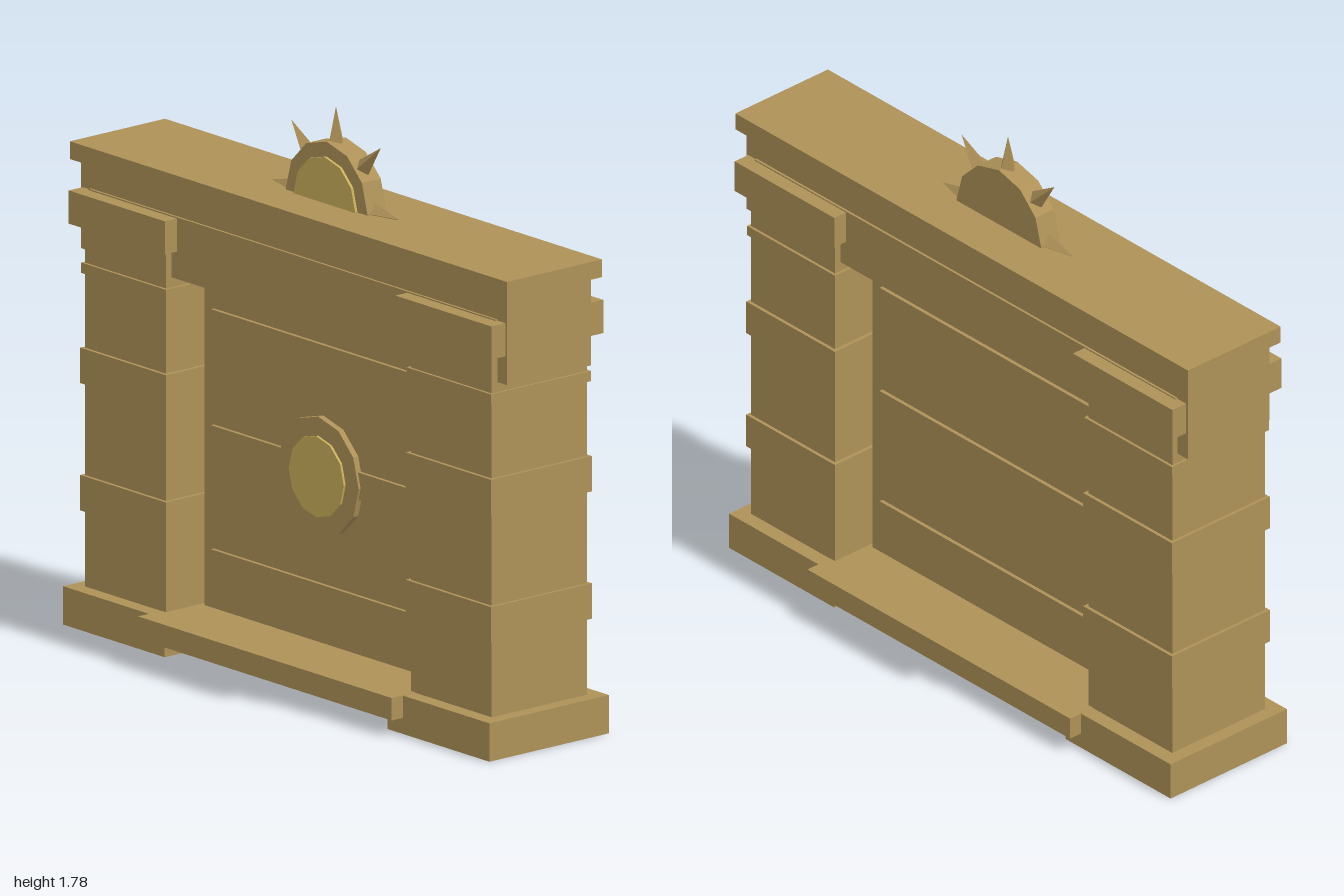
import * as THREE from 'three';

export function createModel() {
  const model = new THREE.Group();
  model.name = 'sunGate';
  const stone = new THREE.MeshStandardMaterial({ color: 0xae9158 });
  stone.name = 'sandstone';
  const gold = new THREE.MeshStandardMaterial({ color: 0xc9af5b });
  gold.name = 'gold';

  const add = (name, geometry, material = stone) => {
    const mesh = new THREE.Mesh(geometry, material);
    mesh.name = name;
    model.add(mesh);
    return mesh;
  };
  // Box given by its x range, y range and half depth
  const block = (name, x0, x1, y0, y1, halfDepth) => {
    const mesh = add(name, new THREE.BoxGeometry(x1 - x0, y1 - y0, halfDepth * 2));
    mesh.position.set((x0 + x1) / 2, (y0 + y1) / 2, 0);
    return mesh;
  };
  // Twelve-sided flat disc facing front, between two depths
  const disc = (name, radius, y, z0, z1, material) => {
    const geometry = new THREE.CylinderGeometry(radius, radius, z1 - z0, 12).toNonIndexed();
    geometry.computeVertexNormals();
    geometry.rotateX(Math.PI / 2);
    add(name, geometry, material).position.set(0, y, (z0 + z1) / 2);
  };

  // Top slab, lintel and the raised beam on it
  block('topSlab', -1, 1, 1.43, 1.485, 0.187);
  block('lintel', -0.975, 0.975, 1.155, 1.43, 0.165);
  block('beam', -0.93, 0.93, 1.24, 1.35, 0.173);

  // Wall with three raised strips on both faces, and the doorstep
  block('wall', -0.543, 0.543, 0.1, 1.17, 0.05);
  for (const [y0, y1] of [[0.245, 0.305], [0.605, 0.69], [0.99, 1.05]]) {
    block('wallStrip', -0.5, 0.5, y0, y1, 0.062);
  }
  block('doorstep', -0.58, 0.58, 0.05, 0.12, 0.28);

  // Pillars: plinth, shaft, bands and capital on each side
  const pillarParts = [
    ['plinth', 0.51, 0.975, 0, 0.119, 0.235],
    ['pillarShaft', 0.56, 0.93, 0.11, 1.3, 0.187],
    ['lowerBand', 0.548, 0.94, 0.355, 0.465, 0.198],
    ['middleBand', 0.548, 0.94, 0.75, 0.86, 0.198],
    ['upperBand', 0.55, 0.938, 1.092, 1.124, 0.196],
    ['capital', 0.527, 0.967, 1.243, 1.346, 0.22],
  ];
  for (const [name, a, b, y0, y1, depth] of pillarParts) {
    block(name + 'Left', a, b, y0, y1, depth);
    block(name + 'Right', -b, -a, y0, y1, depth);
  }

  // Medallion on the front of the wall
  disc('medallionRim', 0.185, 0.642, 0.04, 0.07, stone);
  disc('medallionFace', 0.126, 0.642, 0.06, 0.078, gold);

  // Rising sun on the slab
  const sunY = 1.487;
  disc('sunRim', 0.187, sunY, -0.037, 0.037, stone);
  disc('sunFace', 0.141, sunY, 0, 0.046, gold);

  // Five four-sided rays around the sun
  const ray = new THREE.ConeGeometry(0.028, 0.11, 4).toNonIndexed();
  ray.computeVertexNormals();
  for (let i = 0; i < 5; i++) {
    const angle = (i - 2) * Math.PI / 4;
    const mesh = add('sunRay', ray);
    mesh.position.set(-Math.sin(angle) * 0.235, sunY + Math.cos(angle) * 0.235, 0);
    mesh.rotation.z = angle;
  }
  return model;
}
